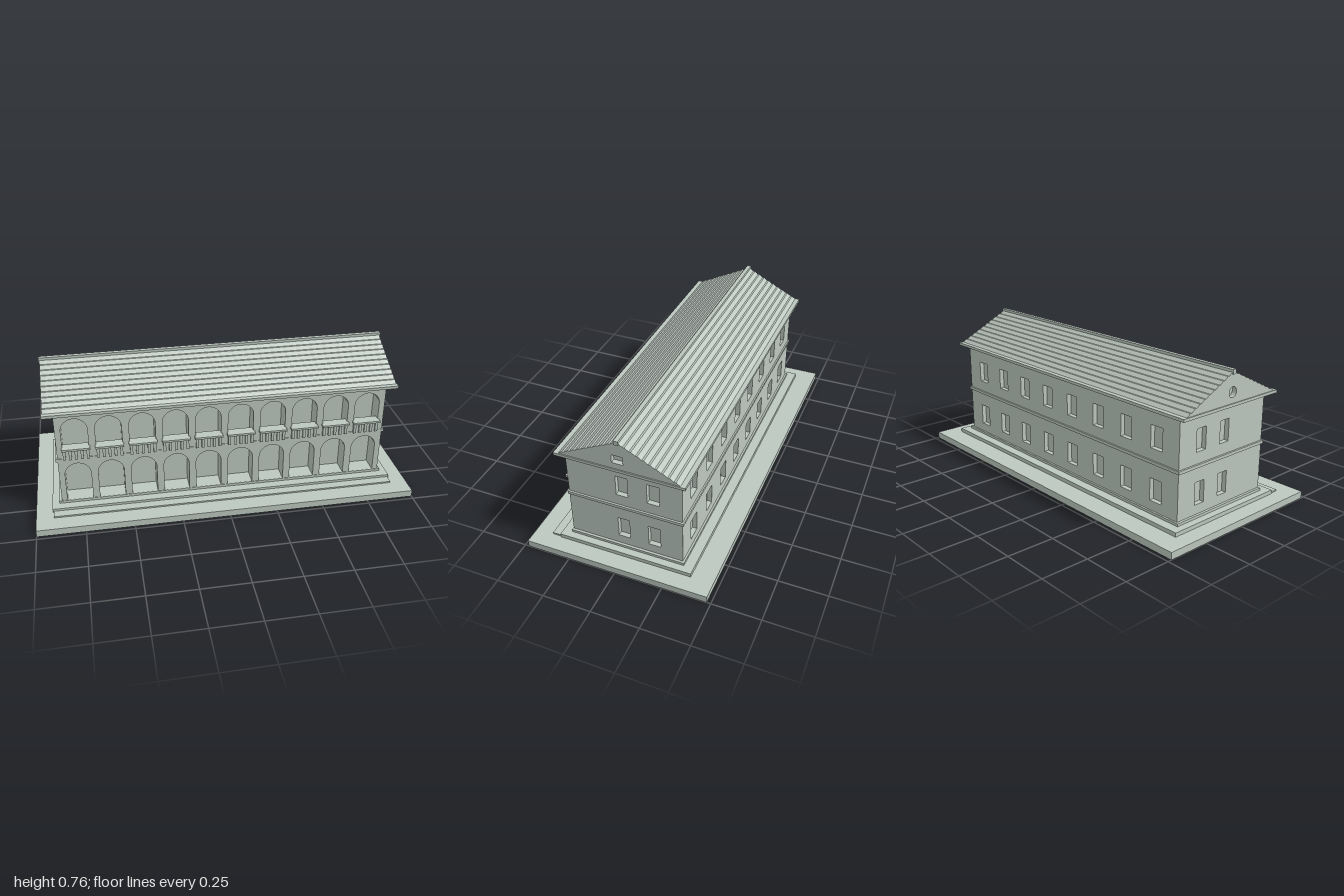
import * as THREE from 'three';

export function createModel() {
  const model = new THREE.Group();
  model.name = 'arcadedHall';
  const stone = new THREE.MeshStandardMaterial({ color: 0xbcc8c0 });
  stone.name = 'paleGreyGreenStone';

  const add = (name, geometry, parent = model) => {
    const mesh = new THREE.Mesh(geometry, stone);
    mesh.name = name;
    parent.add(mesh);
    return mesh;
  };
  // Box given by its limits on each axis
  const box = (name, x0, x1, y0, y1, z0, z1, parent) =>
    add(name, new THREE.BoxGeometry(x1 - x0, y1 - y0, z1 - z0)
      .translate((x0 + x1) / 2, (y0 + y1) / 2, (z0 + z1) / 2), parent);
  const trace = (path, points) => {
    points.forEach(([x, y], i) => (i ? path.lineTo(x, y) : path.moveTo(x, y)));
    path.closePath();
    return path;
  };
  const rect = (path, x0, x1, y0, y1) => trace(path, [[x0, y0], [x1, y0], [x1, y1], [x0, y1]]);
  const extrude = (shape, depth) =>
    new THREE.ExtrudeGeometry(shape, { depth, bevelEnabled: false, curveSegments: 16 });

  const floors = [[0.122, 0.238], [0.39, 0.505]];
  const wallBottom = 0.072, wallTop = 0.59;

  // Stepped base
  box('groundSlab', -1, 1, 0, 0.037, -0.48, 0.48);
  box('frontStep', -0.91, 0.91, 0.037, 0.045, 0.3, 0.387);
  box('lowerPlinth', -0.915, 0.915, 0.037, 0.058, -0.365, 0.34);
  box('upperPlinth', -0.878, 0.878, 0.058, 0.072, -0.315, 0.293);

  // Inner core, seen at the back of every opening
  box('innerWalls', -0.84, 0.84, wallBottom, wallTop, -0.28, 0.2);
  box('floorBand', -0.875, 0.875, 0.314, 0.33, -0.313, 0.293);

  // Front wall with two rows of arches
  const r = 0.067;
  const archX = Array.from({ length: 10 }, (_, i) => (i - 4.5) * 0.1707);
  const front = rect(new THREE.Shape(), -0.84, 0.84, wallBottom, wallTop);
  for (const [bottom, spring] of [[0.0725, 0.228], [0.331, 0.49]]) {
    for (const x of archX) {
      const arch = new THREE.Path();
      arch.moveTo(x - r, bottom);
      arch.lineTo(x + r, bottom);
      arch.lineTo(x + r, spring);
      arch.absarc(x, spring, r, 0, Math.PI, false);
      arch.closePath();
      front.holes.push(arch);
    }
  }
  add('frontArcade', extrude(front, 0.09)).position.z = 0.2;

  // Balconies in the upper arches
  for (const x of archX) {
    const balcony = new THREE.Group();
    balcony.name = 'balcony';
    balcony.position.x = x;
    model.add(balcony);
    box('balconyPanel', -r, r, 0.328, 0.386, 0.265, 0.294, balcony);
    box('balconyRail', -r - 0.006, r + 0.006, 0.385, 0.396, 0.29, 0.318, balcony);
    box('balconyRailInner', -r, r, 0.385, 0.396, 0.26, 0.29, balcony);
    for (let i = -2; i <= 2; i++) {
      box('baluster', i * 0.03 - 0.007, i * 0.03 + 0.007, 0.325, 0.385, 0.29, 0.303, balcony);
    }
  }

  // Back wall with eight windows on each floor
  const back = rect(new THREE.Shape(), -0.84, 0.84, wallBottom, wallTop);
  for (const [y0, y1] of floors) {
    for (let i = 0; i < 8; i++) {
      const x = (i - 3.5) * 0.206;
      back.holes.push(rect(new THREE.Path(), x - 0.038, x + 0.038, y0, y1));
    }
  }
  add('backWall', extrude(back, 0.025)).position.z = -0.305;

  // End walls; the shape's horizontal axis runs along -z
  const side = rect(new THREE.Shape(), -0.29, 0.305, wallBottom, wallTop);
  for (const [y0, y1] of floors) {
    for (const [u0, u1] of [[-0.033, 0.028], [0.127, 0.19]]) {
      side.holes.push(rect(new THREE.Path(), u0, u1, y0, y1));
    }
  }
  const endPlate = (name, shape, depth, x) =>
    add(name, extrude(shape, depth).rotateY(Math.PI / 2).translate(x, 0, 0));
  endPlate('rightEndWall', side, 0.025, 0.84);
  endPlate('leftEndWall', side, 0.025, -0.865);

  // Roof with stepped courses: a flat tread, then a slope
  box('eaves', -0.92, 0.92, 0.585, 0.6, -0.342, 0.318);
  const ridgeU = 0.012, courses = 10, run = 0.0305, rise = 0.0152;
  const half = [];
  for (let i = 0; i < courses; i++) {
    const d = (courses - i) * run, y = 0.6 + i * rise;
    half.push([d, y], [d - 0.021, y + rise]);
  }
  half.push([0, 0.6 + courses * rise]);
  const roofShape = () => trace(new THREE.Shape(), [
    ...half.map(([d, y]) => [ridgeU + d, y]),
    ...half.slice(0, -1).reverse().map(([d, y]) => [ridgeU - d, y]),
  ]);
  endPlate('roofCourses', roofShape(), 1.78, -0.89);

  // Gable ends: square vent on one side, round on the other
  const rightGable = roofShape();
  rightGable.holes.push(rect(new THREE.Path(), -0.017, 0.04, 0.632, 0.677));
  endPlate('rightGable', rightGable, 0.025, 0.89);
  const leftGable = roofShape();
  leftGable.holes.push(new THREE.Path().absarc(ridgeU, 0.655, 0.026, 0, Math.PI * 2, false));
  endPlate('leftGable', leftGable, 0.025, -0.915);

  box('ridgeCap', -0.92, 0.92, 0.742, 0.765, -0.023, -0.001);
  return model;
}
